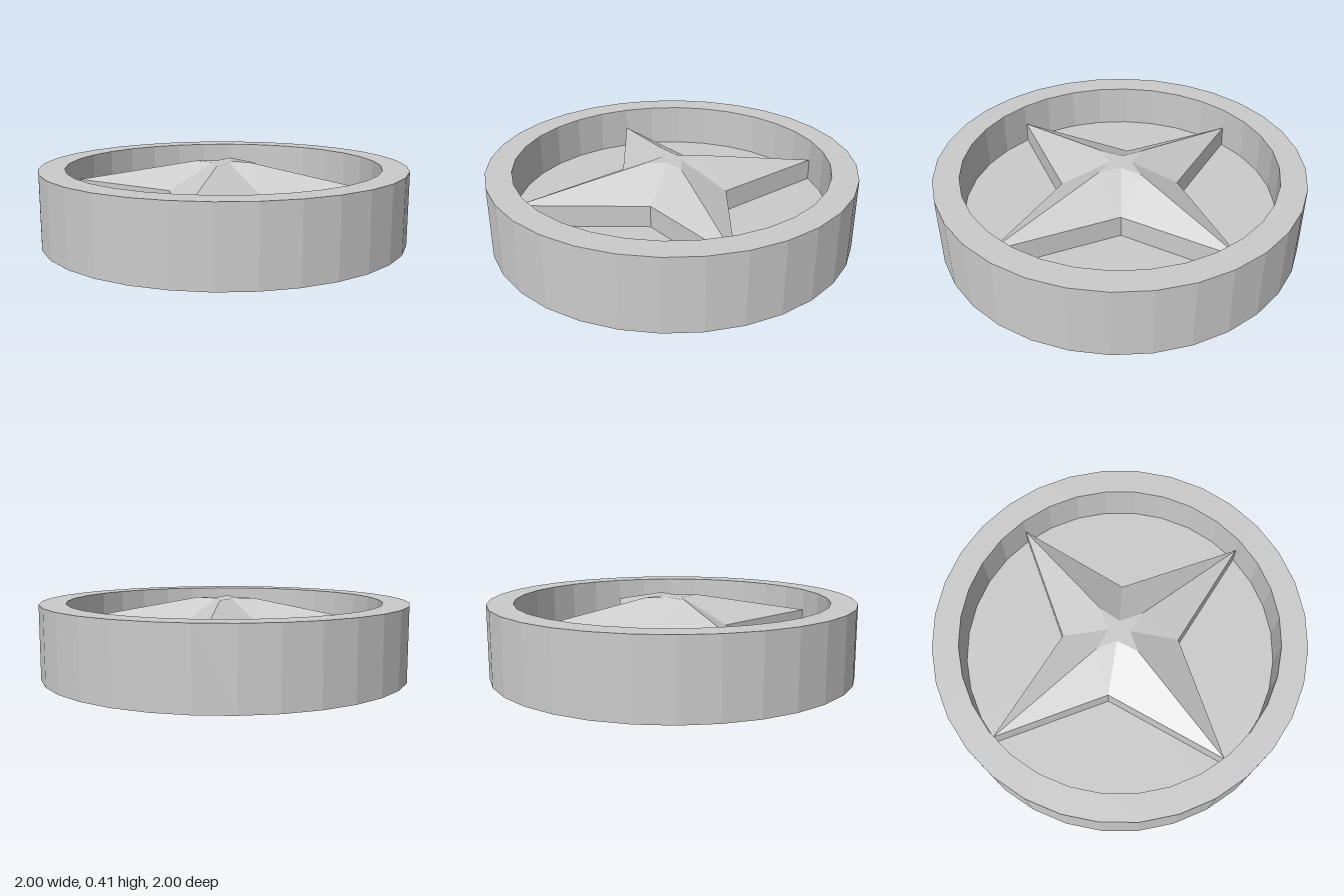
import * as THREE from 'three';

const RIM_TOP = 0.4, FLOOR = 0.16, STAR_EDGE = 0.28, STAR_TOP = 0.415;

// Star outlines as [x, z], counter-clockwise from above, tips and notches alternating
const OUTLINE = [[0.86, 0], [0.21, -0.235], [0, -0.86], [-0.23, -0.215],
  [-0.86, 0], [-0.25, 0.205], [0, 0.855], [0.245, 0.205]];
const CAP = [[0.155, 0], [0.035, -0.045], [0, -0.16], [-0.045, -0.045],
  [-0.16, 0], [-0.05, 0.035], [0, 0.15], [0.04, 0.035]];

function starGeometry() {
  const ring = (outline, y) => outline.map(([x, z]) => [x, y, z]);
  const base = ring(OUTLINE, FLOOR - 0.01);
  const edge = ring(OUTLINE, STAR_EDGE);
  const cap = ring(CAP, STAR_TOP);
  const centre = [0, STAR_TOP, 0];
  const positions = [];
  const tri = (...corners) => corners.forEach((p) => positions.push(...p));

  for (let i = 0; i < 8; i++) {
    const j = (i + 1) % 8;
    // Upright side wall
    tri(base[i], base[j], edge[j]);
    tri(base[i], edge[j], edge[i]);
    // Sloping facet, always folded from the notch to the tip of the cap
    if (i % 2 === 0) {
      tri(edge[i], edge[j], cap[i]);
      tri(edge[j], cap[j], cap[i]);
    } else {
      tri(edge[i], edge[j], cap[j]);
      tri(edge[i], cap[j], cap[i]);
    }
    // Flat cap
    tri(cap[i], cap[j], centre);
  }
  const geometry = new THREE.BufferGeometry();
  geometry.setAttribute('position', new THREE.Float32BufferAttribute(positions, 3));
  geometry.computeVertexNormals();
  return geometry;
}

export function createModel() {
  const group = new THREE.Group();
  group.name = 'starMedallion';
  const material = new THREE.MeshStandardMaterial({ color: 0xcccccc, flatShading: true });

  // Shallow round dish: underside, outer wall, rim, inner wall and floor
  const profile = [[0, 0], [1, 0], [1, RIM_TOP], [0.86, RIM_TOP], [0.86, FLOOR], [0, FLOOR]]
    .map(([r, y]) => new THREE.Vector2(r, y));
  const dish = new THREE.Mesh(new THREE.LatheGeometry(profile, 32), material);
  dish.name = 'dish';

  // Raised four-pointed star spanning the dish
  const star = new THREE.Mesh(starGeometry(), material);
  star.name = 'star';

  group.add(dish, star);
  return group;
}
